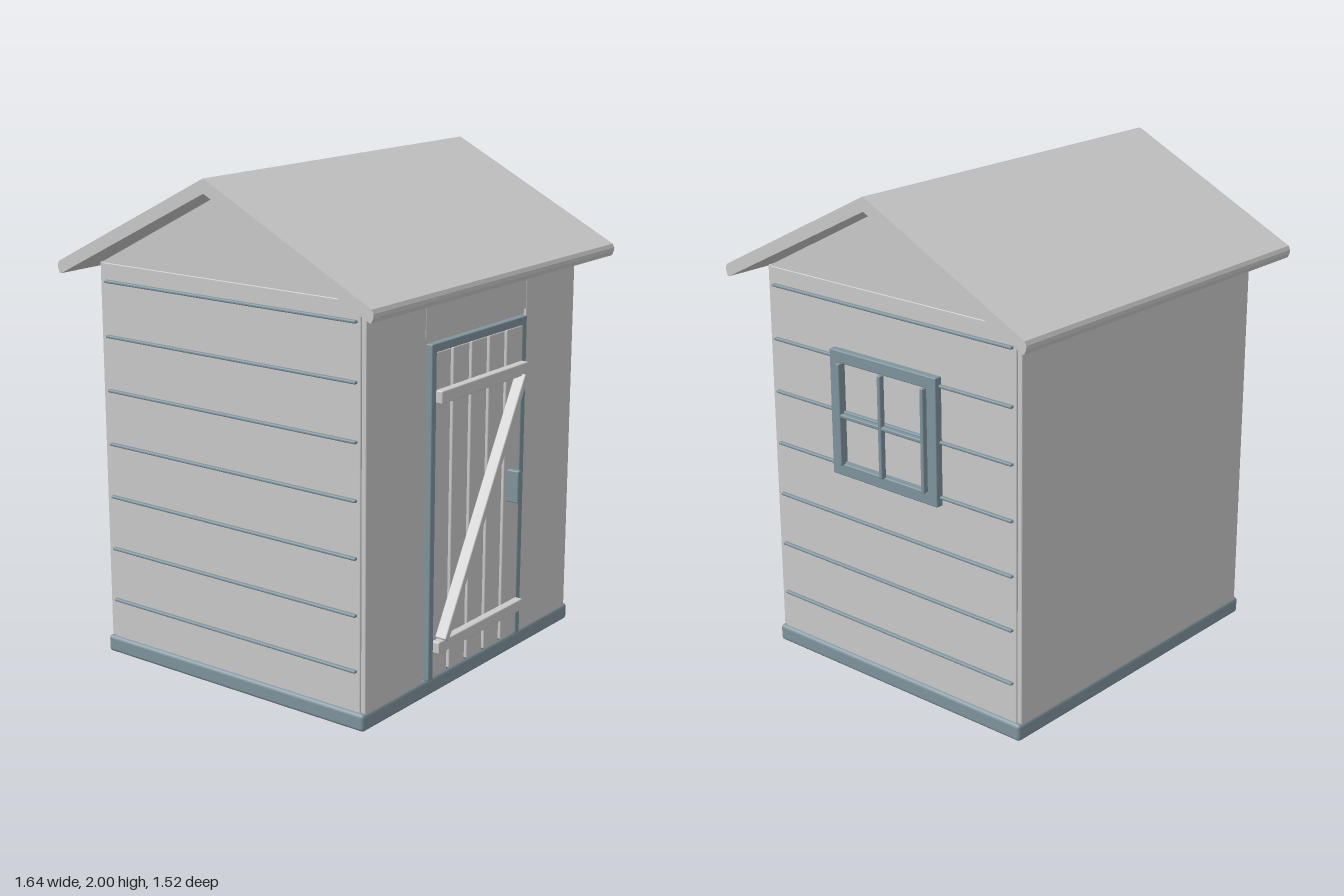
import * as THREE from 'three';
import { RoundedBoxGeometry } from 'three/addons/geometries/RoundedBoxGeometry.js';

const grey = new THREE.MeshStandardMaterial({ color: 0xcccccc });
const slate = new THREE.MeshStandardMaterial({ color: 0x80959e });

// Soft-edged box given by its limits on each axis
function board(parent, name, [x0, x1], [y0, y1], [z0, z1], material = grey, radius = 0.005) {
  const size = [x1 - x0, y1 - y0, z1 - z0];
  const r = Math.min(radius, Math.min(...size) * 0.45);
  const mesh = new THREE.Mesh(new RoundedBoxGeometry(...size, 2, r), material);
  mesh.position.set((x0 + x1) / 2, (y0 + y1) / 2, (z0 + z1) / 2);
  mesh.name = name;
  parent.add(mesh);
  return mesh;
}

function section(parent, name) {
  const group = new THREE.Group();
  group.name = name;
  parent.add(group);
  return group;
}

// Profile in (z, y), extruded along x from x0 to x1
function profileAlongX(parent, name, points, x0, x1) {
  const shape = new THREE.Shape(points.map(([z, y]) => new THREE.Vector2(-z, y)));
  const geometry = new THREE.ExtrudeGeometry(shape, { depth: x1 - x0, bevelEnabled: false });
  geometry.rotateY(Math.PI / 2).translate(x0, 0, 0);
  const mesh = new THREE.Mesh(geometry, grey);
  mesh.name = name;
  parent.add(mesh);
}

function buildWalls(root) {
  const walls = section(root, 'walls');
  const y = [0.06, 1.612];
  board(walls, 'backWall', [-0.705, 0.705], y, [-0.645, -0.622]);
  board(walls, 'frontWallRight', [-0.705, -0.343], y, [0.622, 0.645]);
  board(walls, 'frontWallLeft', [0.343, 0.705], y, [0.622, 0.645]);
  board(walls, 'frontWallHeader', [-0.343, 0.343], [1.415, 1.612], [0.622, 0.645]);

  for (const side of [-1, 1]) {
    const span = (a, b) => (side > 0 ? [a, b] : [-b, -a]);
    board(walls, 'sideWall', span(0.688, 0.711), y, [-0.625, 0.625]);
    const [g0, g1] = span(0.688, 0.709);
    profileAlongX(walls, 'gable', [[-0.635, 1.61], [0.635, 1.61], [0, 1.938]], g0, g1);

    // Siding strips
    for (let i = 0; i < 7; i++) {
      const h = 0.23 + i * 0.2183;
      board(walls, 'sidingStrip', span(0.705, 0.725), [h - 0.006, h + 0.006], [-0.61, 0.61], slate);
    }
  }
}

function buildDoor(root) {
  const door = section(root, 'door');
  // Backing and frame
  board(door, 'doorBacking', [-0.343, 0.343], [0.06, 1.415], [0.615, 0.635]);
  board(door, 'doorPanel', [-0.3, 0.3], [0.06, 1.37], [0.63, 0.642], slate);
  board(door, 'doorJamb', [-0.325, -0.295], [0.07, 1.394], [0.63, 0.662], slate);
  board(door, 'doorJamb', [0.293, 0.323], [0.07, 1.394], [0.63, 0.662], slate);
  board(door, 'doorLintel', [-0.325, 0.323], [1.36, 1.394], [0.63, 0.662], slate);

  // Vertical planks
  for (let i = 0; i < 5; i++) {
    const x = (i - 2) * 0.1225 - 0.002;
    board(door, 'doorPlank', [x - 0.053, x + 0.053], [0.075, 1.358], [0.635, 0.656]);
  }

  // Ledges, diagonal brace and handle
  board(door, 'doorLedge', [-0.298, 0.297], [0.18, 0.228], [0.655, 0.69]);
  board(door, 'doorLedge', [-0.298, 0.297], [1.167, 1.217], [0.655, 0.69]);
  const dx = 0.53, dy = 0.94;
  const half = Math.hypot(dx, dy) / 2;
  const brace = board(door, 'doorBrace', [-0.014, 0.014], [0.7 - half, 0.7 + half], [0.655, 0.705]);
  brace.rotation.z = -Math.atan2(dx, dy);
  board(door, 'doorHandle', [0.21, 0.235], [0.657, 0.79], [0.655, 0.71], slate);
}

function buildWindow(root) {
  const frame = section(root, 'window');
  const depth = [0.705, 0.741];
  for (const z of [[-0.265, -0.216], [0.232, 0.282]]) {
    board(frame, 'windowStile', depth, [0.85, 1.357], z, slate);
  }
  for (const y of [[0.85, 0.9], [1.308, 1.357]]) {
    board(frame, 'windowRail', depth, y, [-0.265, 0.282], slate);
  }
  for (const z of [-0.208, 0.009, 0.225]) {
    board(frame, 'windowBar', [0.735, 0.759], [0.898, 1.31], [z - 0.009, z + 0.009], slate);
  }
  board(frame, 'windowCrossbar', [0.735, 0.757], [1.093, 1.109], [-0.212, 0.23], slate);
}

export function createModel() {
  const root = new THREE.Group();
  root.name = 'gardenShed';

  board(root, 'base', [-0.725, 0.725], [0, 0.07], [-0.65, 0.65], slate, 0.015);
  buildWalls(root);
  buildDoor(root);
  buildWindow(root);

  // Pitched roof with softened eaves
  const eave = [[0.742, 1.571], [0.75, 1.571], [0.758, 1.588], [0.76, 1.604], [0.752, 1.619]];
  const mirrored = eave.map(([z, y]) => [-z, y]).reverse();
  profileAlongX(root, 'roof', [[0, 1.945], ...eave, [0, 2], ...mirrored], -0.82, 0.82);

  return root;
}
